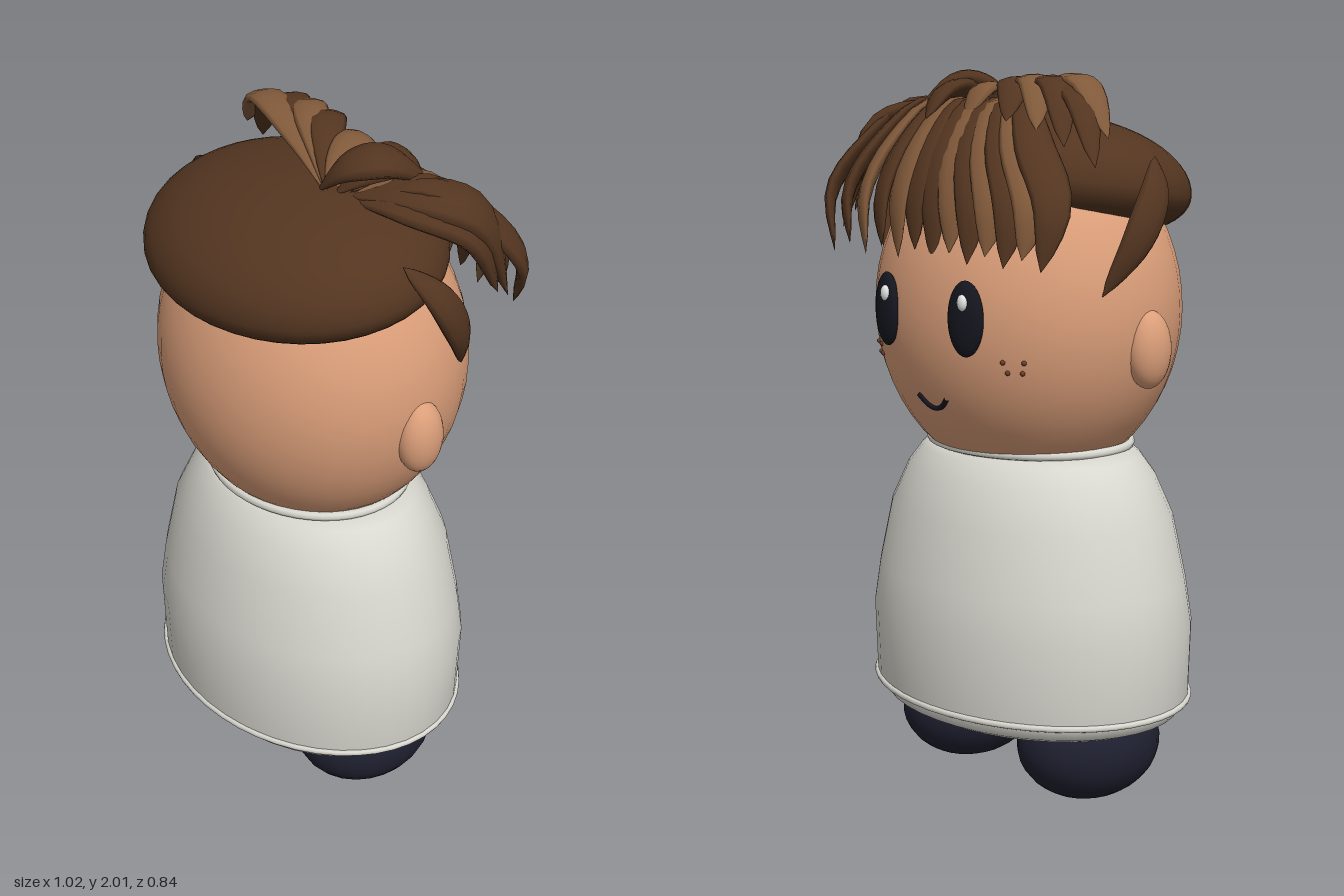
import * as THREE from 'three';

const mat = (name, color) => {
  const m = new THREE.MeshStandardMaterial({ color });
  m.name = name;
  return m;
};
const V = (x, y, z) => new THREE.Vector3(x, y, z);
const HEAD = { c: V(0, 1.37, -0.01), r: V(0.45, 0.49, 0.4) };

// z of the face surface at a given x and y
const faceZ = (x, y) => HEAD.c.z - HEAD.r.z *
  Math.sqrt(Math.max(0, 1 - (x / HEAD.r.x) ** 2 - ((y - HEAD.c.y) / HEAD.r.y) ** 2));

// Flattened, tapering lock of hair swept along a curve, lying over the head
function lockGeometry(points, width, thick, peak = 0.6) {
  const curve = new THREE.CatmullRomCurve3(points);
  const N = 14, M = 10, pos = [], idx = [];
  for (let i = 0; i <= N; i++) {
    const t = i / N, p = curve.getPoint(t), T = curve.getTangent(t);
    const side = p.clone().sub(V(0, 1.45, 0)).cross(T).normalize();
    const up = T.clone().cross(side).normalize();
    const k = Math.max(0.01, Math.sin(Math.PI * Math.pow(t, Math.log(0.5) / Math.log(peak))) ** 0.75);
    for (let j = 0; j < M; j++) {
      const a = (j / M) * Math.PI * 2;
      const q = p.clone().addScaledVector(side, Math.cos(a) * width * k)
        .addScaledVector(up, Math.sin(a) * thick * k);
      pos.push(q.x, q.y, q.z);
      if (i < N) {
        const j2 = (j + 1) % M, A = i * M + j, B = i * M + j2, C = A + M, D = B + M;
        idx.push(A, B, C, B, D, C);
      }
    }
  }
  const g = new THREE.BufferGeometry();
  g.setAttribute('position', new THREE.Float32BufferAttribute(pos, 3));
  g.setIndex(idx);
  g.computeVertexNormals();
  return g;
}

export function createModel() {
  const skin = mat('skin', 0xdc9f7a), shirt = mat('shirtWhite', 0xd9d8d0);
  const hair = mat('darkHair', 0x533520), streak = mat('lightHair', 0x80593a);
  const shoe = mat('navy', 0x1f2030), ink = mat('eyeBlack', 0x15161f);
  const shine = mat('eyeShine', 0xf0f0f0), freckle = mat('freckleBrown', 0x6b3f28);
  const model = new THREE.Group();
  model.name = 'figure';

  const add = (name, geo, material, parent = model) => {
    const m = new THREE.Mesh(geo, material);
    m.name = name;
    parent.add(m);
    return m;
  };
  const ball = (name, material, p, r, seg = 24, parent = model) => {
    const m = add(name, new THREE.SphereGeometry(1, seg, Math.round(seg * 0.7)), material, parent);
    m.position.set(...p);
    m.scale.set(...r);
    return m;
  };

  // Shirt: oval lathe with hem and collar bands
  const profile = [[0, 0.225], [0.42, 0.225], [0.47, 0.245], [0.5, 0.285], [0.507, 0.5],
    [0.487, 0.62], [0.445, 0.8], [0.39, 0.91], [0.345, 0.965], [0.31, 0.99], [0, 0.99]];
  const body = add('shirt', new THREE.LatheGeometry(profile.map(p => new THREE.Vector2(...p)), 40), shirt);
  body.scale.z = 0.775;
  for (const [name, r, y, tube, k] of [['hem', 0.5, 0.287, 0.009, 0.78], ['collar', 0.303, 0.995, 0.013, 0.85]]) {
    const ring = add(name, new THREE.TorusGeometry(r, tube, 8, 48), shirt);
    ring.rotation.x = Math.PI / 2;
    ring.scale.y = k;
    ring.position.y = y;
  }

  // Head, ears, shoes
  ball('head', skin, HEAD.c.toArray(), HEAD.r.toArray(), 40);
  for (const s of [1, -1]) {
    ball('ear', skin, [s * 0.44, 1.29, 0], [0.055, 0.105, 0.067]);
    ball('shoe', shoe, [s * 0.24, 0.16, -0.008], [0.187, 0.16, 0.217]);
  }

  // Face, looking towards -z
  for (const s of [1, -1]) {
    const eye = ball('eye', ink, [s * 0.153, 1.38, -0.39], [0.053, 0.1, 0.026]);
    eye.rotation.y = -s * 0.25;
    ball('eyeShine', shine, [s * 0.15 - 0.014, 1.425, -0.413], [0.016, 0.022, 0.011], 12);
    for (const [x, y] of [[0.238, 1.27], [0.285, 1.27], [0.245, 1.242], [0.278, 1.242]])
      ball('freckle', freckle, [s * x, y, faceZ(x, y)], [0.007, 0.007, 0.007], 8);
  }
  const smile = [-1, -0.5, 0, 0.5, 1].map(t => {
    const x = t * 0.055, y = 1.122 + 0.034 * t * t;
    return V(x, y, faceZ(x, y) - 0.002);
  });
  add('mouth', new THREE.TubeGeometry(new THREE.CatmullRomCurve3(smile), 16, 0.007, 6), ink);

  // Hair cap: dome above, squarer rim below, tilted down at the back
  const capGeo = new THREE.SphereGeometry(1, 40, 28);
  const p = capGeo.attributes.position;
  for (let i = 0; i < p.count; i++) {
    const y = p.getY(i), h = Math.sqrt(Math.max(0, 1 - y * y));
    const k = y < 0 && h > 1e-4 ? Math.pow(h, 0.6) / h : 1;
    p.setXYZ(i, p.getX(i) * k * 0.443, y * (y > 0 ? 0.2 : 0.125), p.getZ(i) * k * 0.365);
  }
  capGeo.computeVertexNormals();
  const cap = add('hairCap', capGeo, hair);
  cap.position.set(0, 1.7, 0.05);
  cap.rotation.x = 0.14;

  // Long fringe fanning from the crown over the forehead
  const fringe = new THREE.Group();
  fringe.name = 'fringe';
  model.add(fringe);
  const count = 13;
  for (let i = 0; i < count; i++) {
    const t = i / (count - 1), x = -0.42 + 0.8 * t;
    const root = V(0.09 + 0.11 * t, 1.89, 0.05 - 0.05 * t);
    const bow = 0.07 * t;
    const light = [1, 3, 5, 8, 10].includes(i);
    add('fringeLock', lockGeometry([
      root,
      V(root.x * 0.65 + x * 0.35 + bow, 1.925, -0.11),
      V(root.x * 0.3 + x * 0.7 + bow, 1.83 - 0.03 * Math.abs(t - 0.5), -0.25),
      V(x + bow * 0.8, 1.68, -0.345),
      V(x, 1.52 + (i % 2) * 0.025, -0.385)], 0.056, 0.02), light ? streak : hair, fringe);
  }

  // Raised locks swept over to the -x side
  const swept = [[-0.43, 1.77, -0.2, 1.95], [-0.41, 1.84, -0.13, 1.98], [-0.34, 1.82, -0.22, 1.975],
    [-0.24, 1.86, -0.22, 1.98], [-0.13, 1.88, -0.22, 1.975], [0.05, 1.88, -0.2, 1.96]];
  swept.forEach(([x, y, z, top], i) => add('sweptLock', lockGeometry([
    V(0.13, 1.89, 0.06),
    V(0.08 + x * 0.3, (top + 1.92) / 2, 0.02 + z * 0.2),
    V(0.03 + x * 0.72, top, z * 0.55),
    V(x, y, z)], 0.05, 0.018), i % 2 ? streak : hair, fringe));

  // Crown tuft and the locks curling to the +x side
  const tufts = [
    [[0.1, 1.88, 0.06], [0.17, 1.96, 0.02], [0.23, 1.977, -0.05], [0.27, 1.9, -0.17], 0.06, 0.03],
    [[0.14, 1.88, 0.04], [0.2, 1.95, -0.04], [0.2, 1.95, -0.13], [0.18, 1.88, -0.22], 0.06, 0.025],
    [[0.16, 1.88, 0.02], [0.3, 1.9, -0.08], [0.41, 1.85, -0.2], [0.42, 1.58, -0.32], 0.075, 0.03],
    [[0.16, 1.87, 0.02], [0.3, 1.88, -0.05], [0.42, 1.82, -0.17], [0.44, 1.62, -0.26], 0.07, 0.03]];
  for (const [a, b, c, d, w, th] of tufts)
    add('crownLock', lockGeometry([a, b, c, d].map(q => V(...q)), w, th, 0.55), hair, fringe);

  // Sideburn locks in front of the ears
  for (const s of [1, -1])
    add('sideburn', lockGeometry([V(s * 0.41, 1.79, 0.05), V(s * 0.472, 1.7, -0.02),
      V(s * 0.475, 1.58, -0.09), V(s * 0.42, 1.44, -0.16)], 0.05, 0.026, 0.5), hair);

  return model;
}
